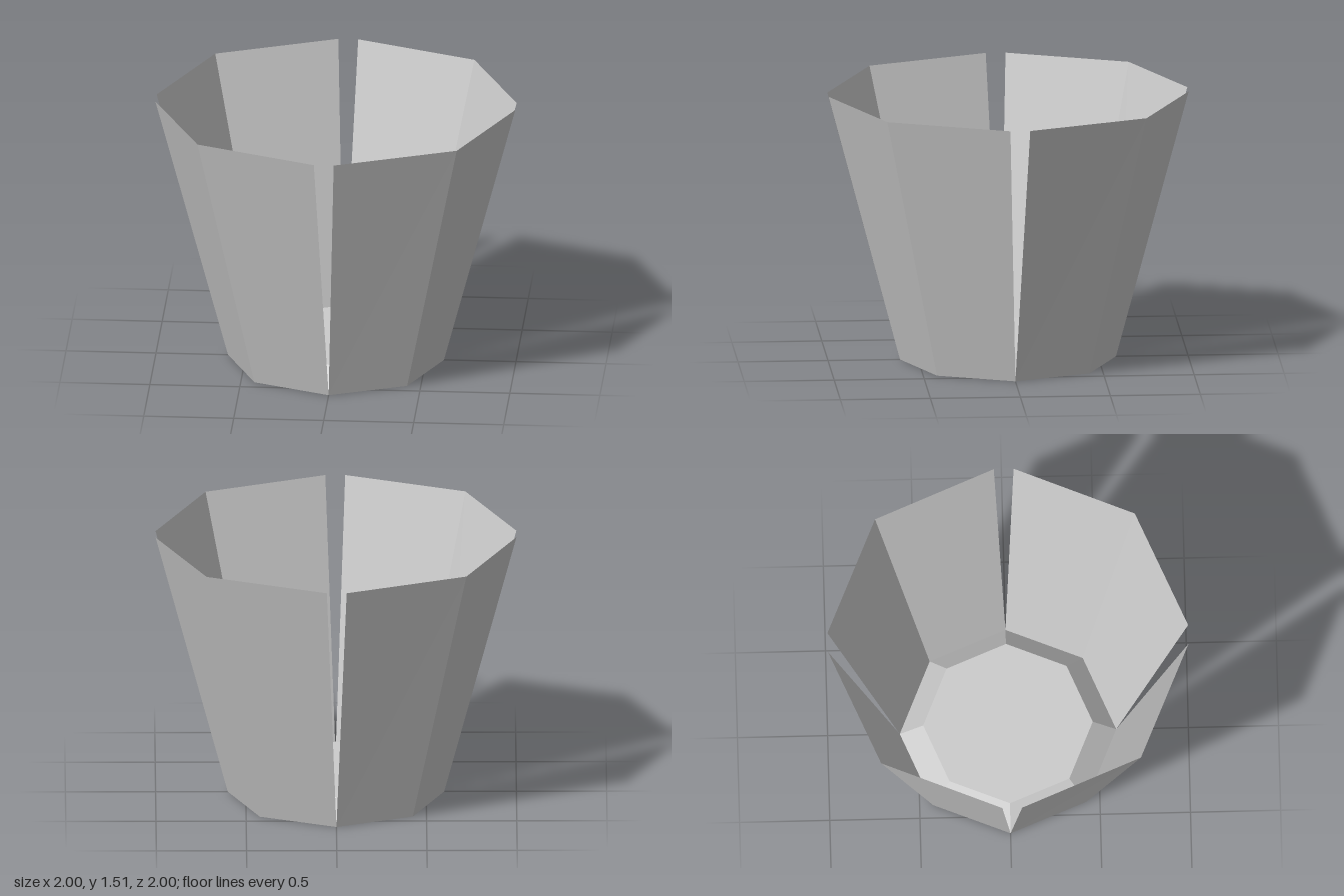
import * as THREE from 'three';

const HEIGHT = 1.51, BASE_R = 0.6, SLIT = 0.055;

// One quarter of the cup wall: two flat panels folded at 45 degrees.
function petalGeometry() {
  const c = BASE_R * Math.SQRT1_2;
  const bottom = [[0, BASE_R], [c, c], [BASE_R, 0]];
  const top = [[SLIT, 1], [0.72, 0.72], [1, SLIT]];
  const pos = [];
  for (let i = 0; i < 2; i++) {
    const at = (ring, k, y) => [ring[k][0], y, ring[k][1]];
    const a = at(bottom, i, 0), b = at(bottom, i + 1, 0);
    const d = at(top, i, HEIGHT), e = at(top, i + 1, HEIGHT);
    pos.push(...a, ...b, ...e, ...a, ...e, ...d);
  }
  const g = new THREE.BufferGeometry();
  g.setAttribute('position', new THREE.Float32BufferAttribute(pos, 3));
  g.computeVertexNormals();
  return g;
}

export function createModel() {
  const group = new THREE.Group();
  group.name = 'slitCup';
  const material = new THREE.MeshStandardMaterial({ color: 0xcccccc, flatShading: true });
  const thin = new THREE.MeshStandardMaterial({ color: 0xcccccc, flatShading: true, side: THREE.DoubleSide });

  // Bevelled octagonal floor
  const h = 0.13;
  const base = new THREE.Mesh(new THREE.CylinderGeometry(0.47, BASE_R, h, 8), material);
  base.position.y = h / 2;
  base.name = 'base';
  group.add(base);

  // Four flaring wall sections separated by narrow slits
  const petal = petalGeometry();
  for (let i = 0; i < 4; i++) {
    const wall = new THREE.Mesh(petal, thin);
    wall.rotation.y = i * Math.PI / 2;
    wall.name = `wallSection${i + 1}`;
    group.add(wall);
  }
  return group;
}
